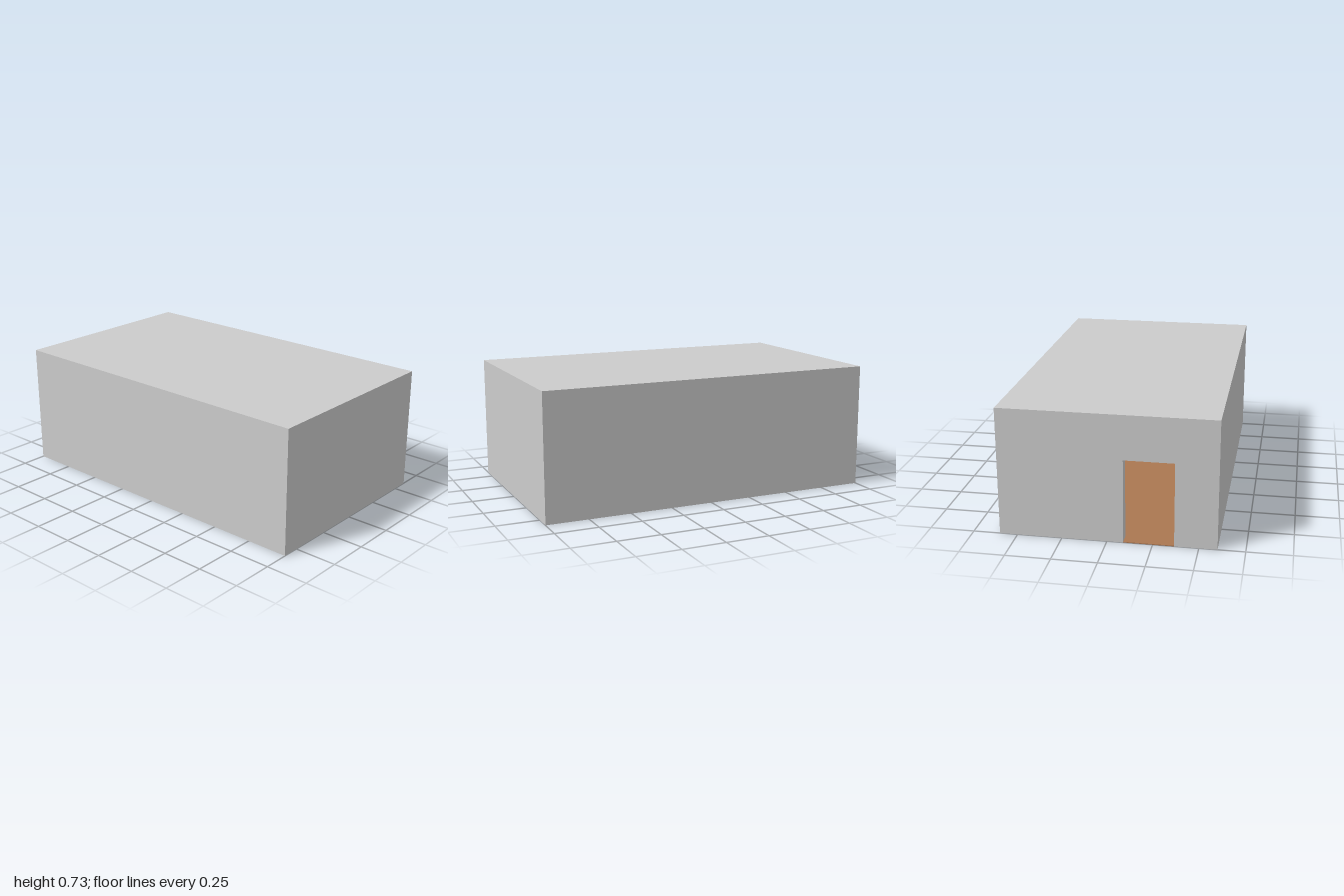
import * as THREE from 'three';

const W = 2, D = 1.2, H = 0.73;            // overall length, depth, height
const T = 0.067;                           // wall and roof thickness
const DOOR = { z0: 0.09, z1: 0.367, h: 0.478 };

export function createModel() {
  const grey = new THREE.MeshStandardMaterial({ name: 'wallGrey', color: 0xcccccc });
  const brown = new THREE.MeshStandardMaterial({ name: 'floorBrown', color: 0xab7751 });

  const model = new THREE.Group();
  model.name = 'building';

  const add = (name, geometry, material, x = 0, y = 0, z = 0) => {
    const mesh = new THREE.Mesh(geometry, material);
    mesh.name = name;
    mesh.position.set(x, y, z);
    model.add(mesh);
  };
  const extrude = (points, depth) => new THREE.ExtrudeGeometry(
    new THREE.Shape(points.map(([a, b]) => new THREE.Vector2(a, b))),
    { depth, bevelEnabled: false });

  const wallH = H - T, inX = W / 2 - T, inZ = D / 2 - T;

  // Flat roof slab
  add('roof', new THREE.BoxGeometry(W, T, D), grey, 0, H - T / 2, 0);

  // Long walls, front and back
  for (const [name, s] of [['frontWall', 1], ['backWall', -1]]) {
    add(name, new THREE.BoxGeometry(W, wallH, T), grey, 0, wallH / 2, s * (D - T) / 2);
  }

  // Plain end wall
  add('endWall', new THREE.BoxGeometry(T, wallH, 2 * inZ), grey, (W - T) / 2, wallH / 2, 0);

  // End wall with a doorway open to the ground, drawn in z and y
  const doorWall = extrude([
    [-inZ, 0], [DOOR.z0, 0], [DOOR.z0, DOOR.h], [DOOR.z1, DOOR.h],
    [DOOR.z1, 0], [inZ, 0], [inZ, wallH], [-inZ, wallH],
  ], T).rotateY(-Math.PI / 2);
  add('doorwayWall', doorWall, grey, -inX);

  // Thin floor with a tongue reaching through the doorway, drawn in x and z
  const thick = 0.004;
  const floor = extrude([
    [-inX, -inZ], [inX, -inZ], [inX, inZ], [-inX, inZ],
    [-inX, DOOR.z1], [-W / 2, DOOR.z1], [-W / 2, DOOR.z0], [-inX, DOOR.z0],
  ], thick).rotateX(Math.PI / 2);
  add('floor', floor, brown, 0, thick, 0);

  return model;
}
